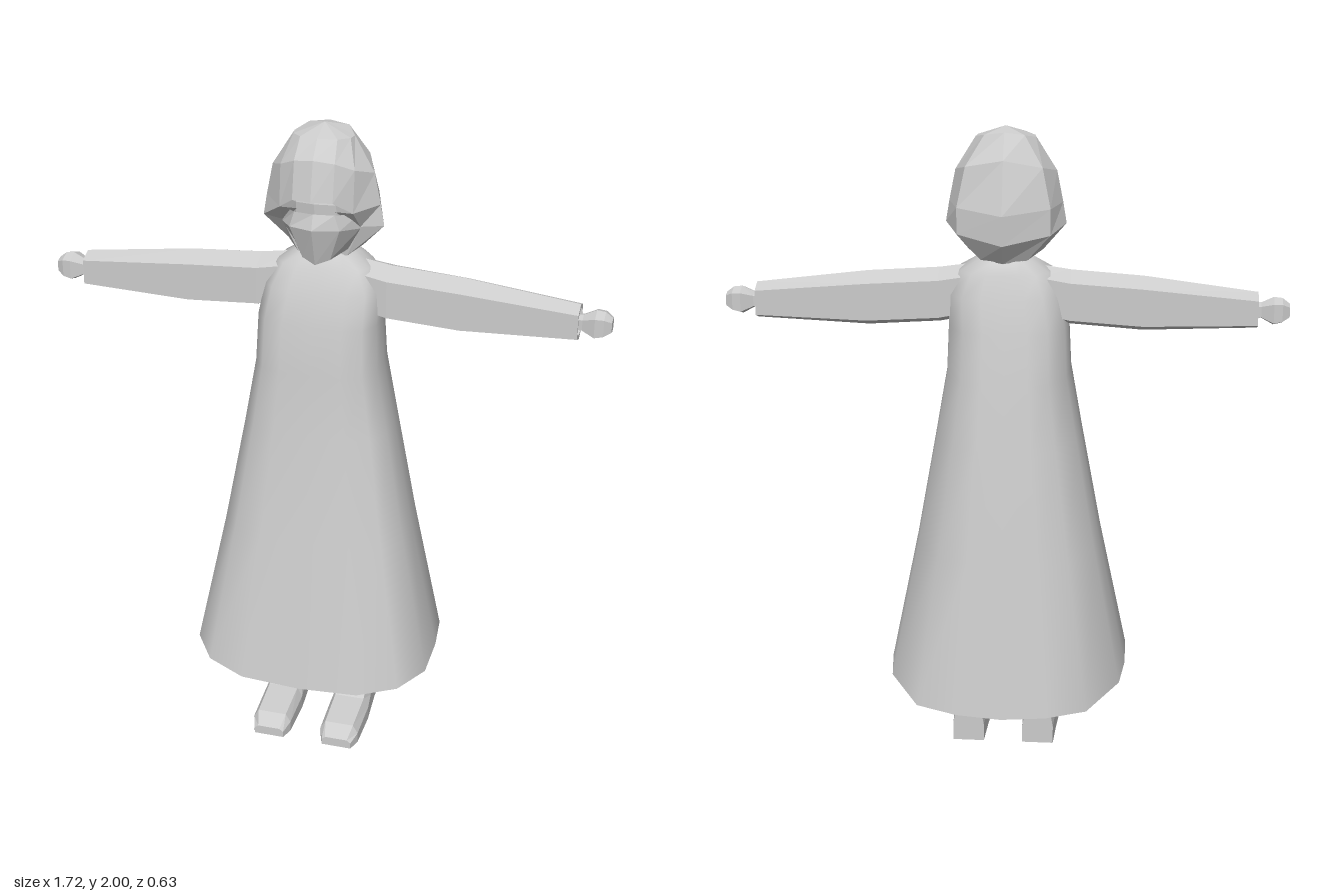
import * as THREE from 'three';

const cloth = new THREE.MeshStandardMaterial({ color: 0xcccccc, side: THREE.DoubleSide });
cloth.name = 'light grey';

// Skin a list of cross-sections; each ring is a list of [x, y, z]
function loft(name, rings, { closed = true, start = false, end = false, flat = true } = {}) {
  const n = rings[0].length, pos = rings.flat(2), idx = [];
  for (let i = 0; i < rings.length - 1; i++) {
    for (let j = 0; j < (closed ? n : n - 1); j++) {
      const k = (j + 1) % n, a = i * n + j, b = i * n + k;
      idx.push(a, b, b + n, a, b + n, a + n);
    }
  }
  const cap = (row, flip) => {
    const c = pos.length / 3, base = row * n;
    for (let d = 0; d < 3; d++) pos.push(rings[row].reduce((s, p) => s + p[d], 0) / n);
    for (let j = 0; j < n; j++) {
      const a = base + j, b = base + (j + 1) % n;
      idx.push(c, ...(flip ? [b, a] : [a, b]));
    }
  };
  if (start) cap(0, true);
  if (end) cap(rings.length - 1, false);
  let g = new THREE.BufferGeometry();
  g.setAttribute('position', new THREE.Float32BufferAttribute(pos, 3));
  g.setIndex(idx);
  if (flat) g = g.toNonIndexed();
  g.computeVertexNormals();
  const mesh = new THREE.Mesh(g, cloth);
  mesh.name = name;
  return mesh;
}

// Full row running from the +x back round the front to the -x back
const mirrorRow = half => [
  ...half.slice().reverse(),
  ...half.filter(p => p[0] > 0).map(([x, y, z]) => [-x, y, z]),
  ...half.filter((p, i) => p[0] === 0 && i > 0)
];

function robe() {
  const half = [[0, 1], [0.5, 1], [0.82, 0.86], [1, 0.55], [1, 0.05], [0.96, -0.37], [0.7, -0.89], [0.37, -0.97], [0, -1]];
  const outline = [...half, ...half.slice(1, -1).reverse().map(([x, z]) => [-x, z])];
  // y, half width, front z, back z, centre x
  const levels = [
    [0.205, 0.38, 0.312, -0.318, -0.01], [0.7, 0.288, 0.236, -0.25, -0.01], [1.05, 0.225, 0.182, -0.2, -0.01],
    [1.25, 0.19, 0.168, -0.168, -0.01], [1.4, 0.183, 0.15, -0.14, -0.01], [1.5, 0.175, 0.125, -0.115, 0],
    [1.57, 0.14, 0.093, -0.088, 0], [1.61, 0.075, 0.066, -0.07, 0]
  ];
  const rings = levels.map(([y, w, f, b, cx], i) => outline.map(([x, z]) =>
    [cx + x * w, y + (i === 0 ? 0.045 * x * x : 0), z > 0 ? z * f : -z * b]));
  return loft('robe', rings, { end: true, flat: false });
}

function arm() {
  const g = new THREE.Group();
  // Pointed hexagon section: x, top, bottom, half depth, centre z
  const hex = ([x, t, b, d, c]) => {
    const s = (t - b) * 0.16;
    return [[x, t, c], [x, t - s, c + d], [x, b + s, c + d], [x, b, c], [x, b + s, c - d], [x, t - s, c - d]];
  };
  g.add(loft('sleeve', [
    [0.1, 1.585, 1.42, 0.06, 0.01], [0.2, 1.57, 1.4, 0.066, 0.012], [0.42, 1.555, 1.385, 0.062, 0.012],
    [0.765, 1.512, 1.4, 0.045, 0.012], [0.765, 1.498, 1.414, 0.036, 0.012], [0.74, 1.49, 1.42, 0.032, 0.012]
  ].map(hex), { end: true }));
  g.add(loft('hand', [
    [0.735, 1.477, 1.433, 0.02, 0.012], [0.775, 1.48, 1.432, 0.025, 0.012], [0.812, 1.498, 1.412, 0.04, 0.01],
    [0.838, 1.495, 1.418, 0.036, 0.01], [0.86, 1.478, 1.434, 0.022, 0.01]
  ].map(hex), { end: true }));
  return g;
}

function leg() {
  const g = new THREE.Group();
  const ring = ([y, w, f, b]) => Array.from({ length: 8 }, (_, i) => {
    const a = (i + 0.5) * Math.PI / 4;
    return [0.1 + Math.sin(a) * w * 1.08, y, (f + b) / 2 + Math.cos(a) * (f - b) / 2 * 1.08];
  });
  g.add(loft('trouserLeg', [[0.1, 0.046, 0.092, -0.072], [0.24, 0.055, 0.112, -0.082], [0.9, 0.07, 0.12, -0.1]].map(ring),
    { start: true, end: true }));
  // Shoe sections from heel to toe: z, top half width, sole half width, top, shoulder height
  const shoe = [[-0.086, 0.042, 0.05, 0.105, 0.06], [0.02, 0.046, 0.055, 0.108, 0.065], [0.09, 0.046, 0.06, 0.104, 0.06],
    [0.14, 0.048, 0.064, 0.076, 0.045], [0.27, 0.046, 0.062, 0.062, 0.035], [0.31, 0.036, 0.048, 0.03, 0.02]];
  g.add(loft('shoe', shoe.map(([z, t, w, y, m]) => [
    [t, y, z], [-t, y, z], [-w, m, z], [-w, 0, z], [w, 0, z], [w, m, z]
  ].map(([x, yy, zz]) => [x + 0.113, yy, zz])), { start: true, end: true }));
  return g;
}

function head() {
  const g = new THREE.Group();
  g.name = 'head';
  // Hood crown: each half row runs from centre front to centre back
  const brim = [[0, 1.81, 0.185], [0.06, 1.805, 0.165], [0.11, 1.765, 0.125], [0.172, 1.77, 0.045], [0.14, 1.77, -0.065], [0, 1.76, -0.132]];
  g.add(loft('hoodCrown', [
    Array.from({ length: 6 }, (_, i) => [i === 0 || i === 5 ? 0 : 1e-4, 2, 0.03]),
    [[0, 1.975, 0.11], [0.055, 1.972, 0.095], [0.085, 1.968, 0.06], [0.09, 1.967, 0.03], [0.06, 1.98, -0.02], [0, 1.988, -0.025]],
    [[0, 1.925, 0.157], [0.06, 1.915, 0.142], [0.11, 1.89, 0.11], [0.153, 1.865, 0.045], [0.115, 1.89, -0.05], [0, 1.915, -0.08]],
    brim
  ].map(mirrorRow), { closed: false }));
  // Hood sides and back, open around the face
  g.add(loft('hoodDrape', [
    brim.slice(2),
    [[0.118, 1.705, 0.07], [0.183, 1.705, 0.045], [0.14, 1.69, -0.065], [0, 1.67, -0.13]],
    [[0.075, 1.605, 0.058], [0.115, 1.63, 0.02], [0.07, 1.61, -0.05], [0, 1.605, -0.078]]
  ].map(mirrorRow), { closed: false }));
  // Face and scarf inside the hood
  const front = rows => rows.map(r => [...r.slice(1).reverse(), r[0], ...r.slice(1).map(([x, y, z]) => [-x, y, z])]);
  g.add(loft('face', front([
    [[0, 1.86, 0.12], [0.06, 1.85, 0.1], [0.12, 1.83, 0.04]],
    [[0, 1.79, 0.145], [0.06, 1.785, 0.125], [0.125, 1.77, 0.05]],
    [[0, 1.72, 0.14], [0.06, 1.715, 0.12], [0.125, 1.7, 0.05]]
  ]), { closed: false }));
  g.add(loft('scarf', front([
    [[0, 1.765, 0.16], [0.06, 1.762, 0.145], [0.115, 1.745, 0.07]],
    [[0, 1.72, 0.177], [0.075, 1.715, 0.145], [0.118, 1.7, 0.07]],
    [[0, 1.6, 0.14], [0.042, 1.615, 0.125], [0.085, 1.63, 0.05]],
    [[0, 1.61, 0.04], [0.03, 1.61, 0.04], [0.06, 1.61, 0.03]]
  ]), { closed: false }));
  const neck = new THREE.Mesh(new THREE.CylinderGeometry(0.065, 0.07, 0.1, 8), cloth);
  neck.name = 'neck';
  neck.position.set(0, 1.62, -0.005);
  g.add(neck);
  return g;
}

export function createModel() {
  const model = new THREE.Group();
  model.name = 'hoodedFigure';
  model.add(robe(), head());
  for (const [side, s] of [['left', 1], ['right', -1]]) {
    for (const [part, make] of [['Arm', arm], ['Leg', leg]]) {
      const g = make();
      g.name = side + part;
      g.scale.x = s;
      model.add(g);
    }
  }
  return model;
}
